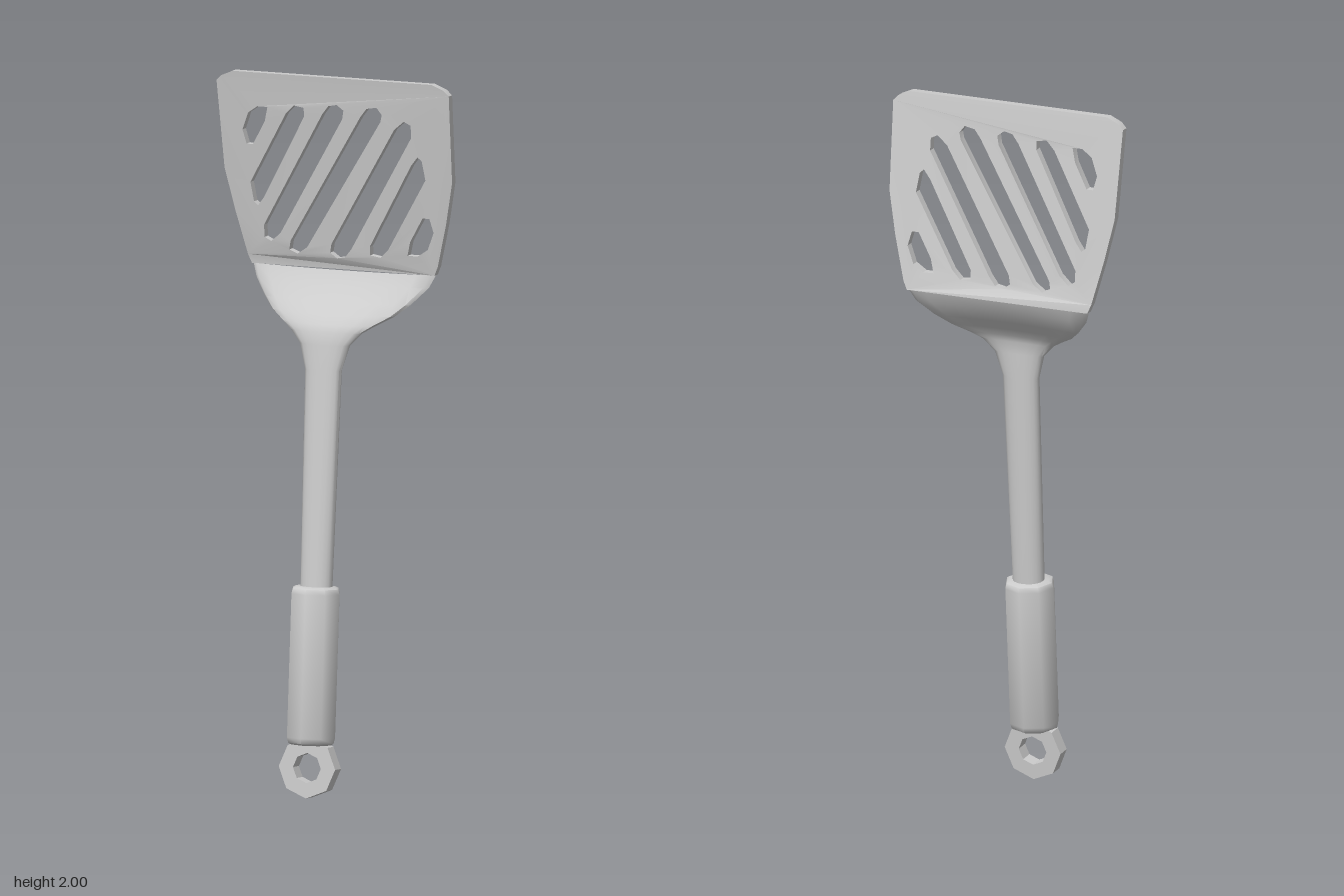
import * as THREE from 'three';
import { toCreasedNormals } from 'three/addons/utils/BufferGeometryUtils.js';

const TILT = -0.08;
const material = new THREE.MeshStandardMaterial({ color: 0xcccccc });

function part(name, geometry, crease = 0.9) {
  const mesh = new THREE.Mesh(toCreasedNormals(geometry, crease), material);
  mesh.name = name;
  return mesh;
}

const points = (list) => list.map(([x, y]) => new THREE.Vector2(x, y));

// Slotted blade: flat plate with slanted slots, leaning and slightly dished
function bladeGeometry() {
  const half = [[0.275, 1.45], [0.286, 1.475], [0.318, 1.6], [0.343, 1.72], [0.35, 1.97], [0.335, 1.985], [0.3, 2]];
  const mirrored = half.map(([x, y]) => [-x, y]).reverse();
  const shape = new THREE.Shape(points([...half, ...mirrored]));

  // Slots around the blade centre; the side ones repeat turned by 180 degrees
  const sideSlots = [
    [[-0.2, 0.2], [-0.21, 0.16], [-0.25, 0.09], [-0.27, 0.09], [-0.28, 0.13], [-0.26, 0.18], [-0.23, 0.2]],
    [[-0.09, 0.205], [-0.09, 0.18], [-0.225, -0.06], [-0.245, -0.085], [-0.257, -0.075], [-0.265, -0.02], [-0.145, 0.185], [-0.12, 0.21]],
    [[-0.015, 0.215], [0.01, 0.22], [0.03, 0.205], [0.025, 0.18], [-0.18, -0.16], [-0.21, -0.185], [-0.23, -0.175], [-0.23, -0.14], [-0.035, 0.19]],
  ];
  const middleSlot = [[0.1, 0.215], [0.13, 0.22], [0.145, 0.2], [0.14, 0.18], [-0.1, -0.195], [-0.13, -0.215], [-0.155, -0.205], [-0.15, -0.18], [0.08, 0.19]];
  const turned = sideSlots.map((slot) => slot.map(([x, y]) => [-x, -y]));
  for (const slot of [...sideSlots, middleSlot, ...turned]) {
    shape.holes.push(new THREE.Path(points(slot.map(([x, y]) => [x, y + 1.703]))));
  }

  const geometry = new THREE.ExtrudeGeometry(shape, { depth: 0.024, bevelEnabled: false });
  const p = geometry.attributes.position;
  for (let i = 0; i < p.count; i++) {
    const drop = (2 - p.getY(i)) / 0.55;
    const bow = 0.016 * (p.getX(i) / 0.275) ** 2;
    p.setZ(i, p.getZ(i) - 0.012 - 0.073 - drop * (0.063 + bow));
  }
  return geometry;
}

// Shoulder and shaft: one loft that narrows from a bowed plate to a rod
function neckGeometry() {
  // y, half width, centre z, half thickness, bow, roundness
  const rows = [
    [1.45, 0.275, -0.136, 0.012, 0.016, 0.3],
    [1.415, 0.26, -0.118, 0.015, 0.018, 0.35],
    [1.37, 0.22, -0.075, 0.018, 0.026, 0.4],
    [1.34, 0.185, -0.043, 0.018, 0.028, 0.45],
    [1.315, 0.14, -0.02, 0.018, 0.022, 0.5],
    [1.295, 0.108, -0.01, 0.019, 0.014, 0.6],
    [1.26, 0.075, -0.007, 0.021, 0.006, 0.7],
    [1.19, 0.054, -0.002, 0.024, 0, 0.8],
    [0.57, 0.044, 0.049, 0.042, 0, 0.9],
  ];
  const sides = 20;
  const positions = [];
  const index = [];
  rows.forEach(([y, w, zc, t, bow, round], i) => {
    for (let j = 0; j < sides; j++) {
      const a = (j / sides) * Math.PI * 2;
      const c = Math.cos(a);
      const s = j % (sides / 2) === 0 ? 0 : Math.sin(a);
      positions.push(w * c, y, zc - bow * c * c + t * Math.sign(s) * Math.abs(s) ** round);
      if (i === rows.length - 1) continue;
      const k = (j + 1) % sides;
      const up = i * sides;
      const low = up + sides;
      index.push(up + j, up + k, low + j, up + k, low + k, low + j);
    }
  });
  const geometry = new THREE.BufferGeometry();
  geometry.setAttribute('position', new THREE.Float32BufferAttribute(positions, 3));
  geometry.setIndex(index);
  geometry.computeVertexNormals();
  return geometry;
}

// Octagon outline with a corner pointing down
function octagon(radius) {
  return Array.from({ length: 8 }, (_, i) => {
    const a = (i / 8) * Math.PI * 2;
    return new THREE.Vector2(radius * Math.sin(a), -radius * Math.cos(a));
  });
}

export function createModel() {
  const model = new THREE.Group();
  model.name = 'spatula';

  model.add(part('blade', bladeGeometry(), 0.5));
  model.add(part('shoulderAndShaft', neckGeometry(), 1.0));

  // Eight-sided grip with softened ends
  const profile = points([[0, -0.22], [0.058, -0.22], [0.068, -0.215], [0.072, -0.2], [0.072, 0.2], [0.068, 0.215], [0.058, 0.22], [0, 0.22]]);
  const grip = part('grip', new THREE.LatheGeometry(profile, 8));
  grip.position.set(0, 0.37, 0.07);
  grip.rotation.x = TILT;
  model.add(grip);

  // Hanging ring
  const ringShape = new THREE.Shape(octagon(0.085));
  ringShape.holes.push(new THREE.Path(octagon(0.042)));
  const ringGeometry = new THREE.ExtrudeGeometry(ringShape, { depth: 0.042, bevelEnabled: false });
  ringGeometry.translate(0, 0, -0.021);
  const ring = part('hangingRing', ringGeometry, 0.5);
  ring.position.set(0, 0.0865, 0.094);
  ring.rotation.x = TILT;
  model.add(ring);

  return model;
}
